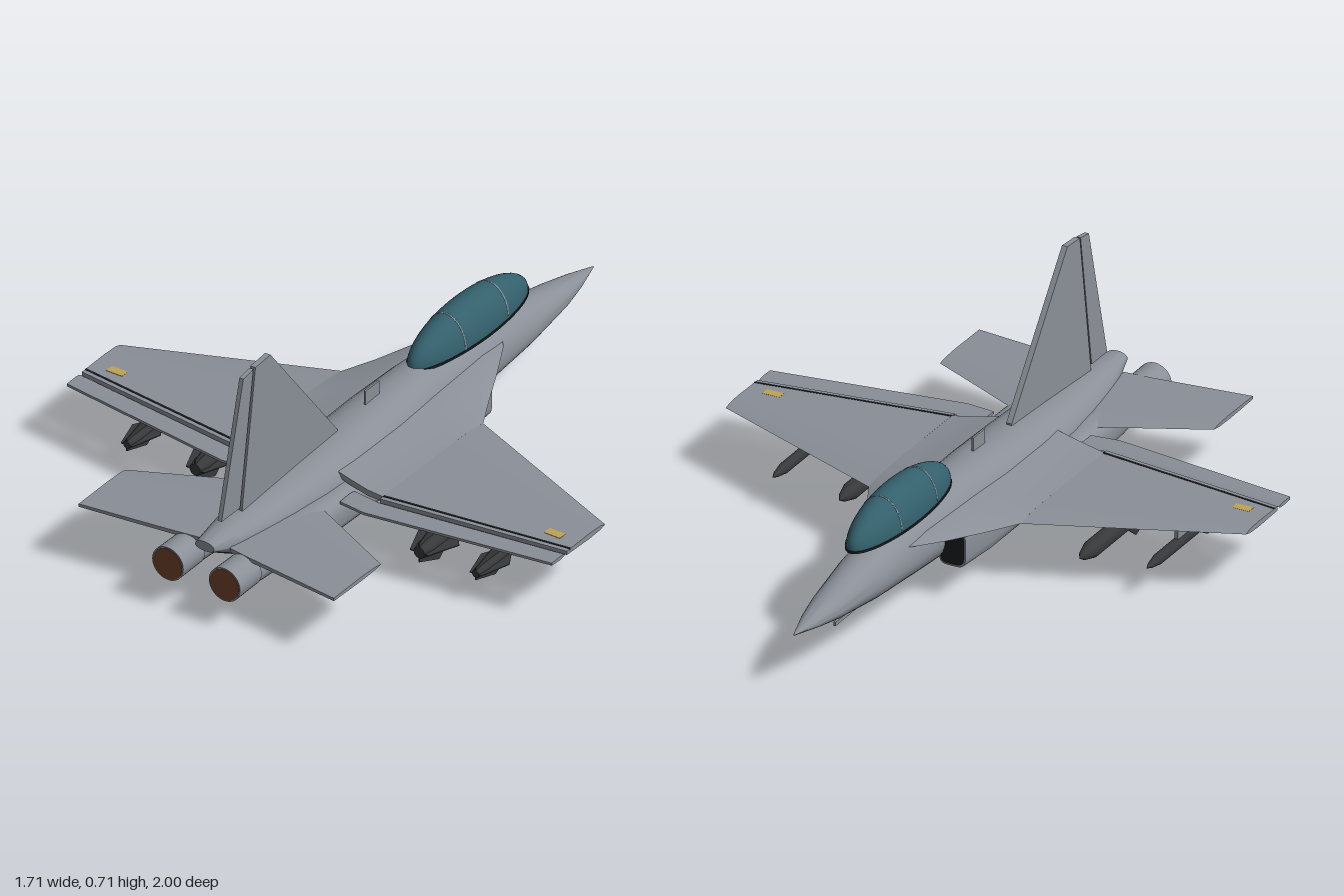
import * as THREE from 'three';
import { toCreasedNormals } from 'three/addons/utils/BufferGeometryUtils.js';

const paint = (name, color) => Object.assign(new THREE.MeshStandardMaterial({ color }), { name });

// Skin closed rings of points [x, y, z]; rings run counter-clockwise seen from the last ring
function loft(rings, crease = 0.6) {
  const n = rings[0].length, pos = [], idx = [];
  rings.forEach(r => r.forEach(p => pos.push(...p)));
  for (let i = 0; i < rings.length - 1; i++) {
    for (let j = 0; j < n; j++) {
      const a = i * n + j, b = i * n + (j + 1) % n;
      idx.push(a, b, a + n, b, b + n, a + n);
    }
  }
  const last = (rings.length - 1) * n;
  for (let j = 1; j < n - 1; j++) idx.push(0, j + 1, j, last, last + j, last + j + 1);
  const g = new THREE.BufferGeometry();
  g.setAttribute('position', new THREE.Float32BufferAttribute(pos, 3));
  g.setIndex(idx);
  return toCreasedNormals(g, crease);
}

// Rounded hull along z from rows [z, centreX, centreY, halfWidth, up, down, squareness]
function hull(rows) {
  return loft(rows.map(([z, cx, cy, w, up, down, e]) => Array.from({ length: 32 }, (_, j) => {
    const a = j / 32 * Math.PI * 2, c = Math.cos(a), s = Math.sin(a);
    const f = v => Math.sign(v) * Math.abs(v) ** (2 / e);
    return [cx + w * f(c), cy + (s > 0 ? up : down) * f(s), z];
  })), 0.9);
}

// Wing panel along x from rows [x, leadingZ, trailingZ, y, halfThickness]
const foil = [[0, 0], [0.12, -0.7], [0.4, -1], [1, -0.7], [1, 0.7], [0.4, 1], [0.12, 0.7]];
const slab = [[0, -1], [1, -1], [1, 1], [0, 1]];
const panel = (rows, section = foil) => loft(rows.map(([x, z0, z1, y, t]) =>
  section.map(([u, v]) => [x, y + v * t, z0 + (z1 - z0) * u]).reverse()), 0.4);

// Flat vertical plate from [z, y] points
function plate(points, t) {
  const g = new THREE.ExtrudeGeometry(new THREE.Shape(points.map(p => new THREE.Vector2(...p))),
    { depth: t, bevelEnabled: false });
  return g.rotateY(-Math.PI / 2).translate(t / 2, 0, 0);
}

// Copy a geometry to the other side, keeping faces outward
function mirrored(geometry) {
  const g = geometry.index ? geometry.toNonIndexed() : geometry.clone();
  g.scale(-1, 1, 1);
  for (const key of ['position', 'normal']) {
    const a = g.attributes[key].array;
    for (let i = 0; i < a.length; i += 9) {
      for (let k = 3; k < 6; k++) [a[i + k], a[i + k + 3]] = [a[i + k + 3], a[i + k]];
    }
  }
  return g;
}

export function createModel() {
  const model = new THREE.Group();
  model.name = 'jetAircraft';
  const grey = paint('airframeGrey', 0x8a8f98);
  const glass = paint('canopyTeal', 0x33606c);
  const dark = paint('storeCharcoal', 0x37383a);
  const black = paint('seamBlack', 0x1b1d20);
  const rust = paint('exhaustRust', 0x70432e);
  const gold = paint('lightGold', 0xc0a452);

  const add = (name, geometry, material) => {
    const m = new THREE.Mesh(geometry, material);
    m.name = name;
    model.add(m);
    return m;
  };
  const pair = (name, geometry, material) => {
    add(name + 'Left', geometry, material);
    add(name + 'Right', mirrored(geometry), material);
  };

  // Fuselage
  add('fuselage', hull([
    [-1, 0, 0.17, 0.002, 0.002, 0.002, 2],
    [-0.9, 0, 0.17, 0.032, 0.025, 0.02, 2],
    [-0.8, 0, 0.17, 0.053, 0.046, 0.037, 2],
    [-0.6, 0, 0.17, 0.077, 0.085, 0.06, 2],
    [-0.4, 0, 0.17, 0.089, 0.112, 0.075, 2],
    [-0.1, 0, 0.17, 0.105, 0.125, 0.092, 2.1],
    [0.1, 0, 0.17, 0.116, 0.12, 0.096, 2.1],
    [0.35, 0, 0.17, 0.12, 0.105, 0.094, 2.1],
    [0.5, 0, 0.175, 0.114, 0.092, 0.095, 2.1],
    [0.7, 0, 0.18, 0.09, 0.073, 0.085, 2],
    [0.85, 0, 0.195, 0.06, 0.048, 0.055, 2],
    [0.955, 0, 0.213, 0.034, 0.018, 0.014, 2],
  ]), grey);

  // Engine trunks with dark intake mouths
  pair('engineTrunk', hull([
    [-0.26, 0.118, 0.157, 0.044, 0.056, 0.06, 4.5],
    [-0.1, 0.112, 0.15, 0.054, 0.054, 0.066, 4],
    [0.2, 0.105, 0.143, 0.062, 0.056, 0.065, 3.2],
    [0.55, 0.102, 0.14, 0.064, 0.06, 0.061, 2.8],
    [0.72, 0.1, 0.14, 0.06, 0.058, 0.058, 2.3],
    [0.83, 0.1, 0.14, 0.053, 0.053, 0.053, 2],
    [0.9, 0.1, 0.14, 0.05, 0.05, 0.05, 2],
  ]), grey);
  pair('intakeMouth', hull([
    [-0.263, 0.118, 0.157, 0.039, 0.05, 0.054, 4.5],
    [-0.258, 0.118, 0.157, 0.039, 0.05, 0.054, 4.5],
  ]), black);

  // Exhaust nozzles
  pair('nozzle', new THREE.CylinderGeometry(0.055, 0.054, 0.11, 32)
    .rotateX(Math.PI / 2).translate(0.1, 0.142, 0.943), grey);
  pair('exhaust', new THREE.CylinderGeometry(0.051, 0.051, 0.004, 32)
    .rotateX(Math.PI / 2).translate(0.1, 0.142, 0.998), rust);

  // Wings, root strakes and flaps
  pair('strake', panel([
    [0.06, -0.46, 0.42, 0.228, 0.013], [0.09, -0.42, 0.42, 0.224, 0.013],
    [0.14, -0.32, 0.42, 0.21, 0.014], [0.2, -0.19, 0.42, 0.196, 0.014], [0.25, -0.09, 0.415, 0.19, 0.012],
  ]), grey);
  pair('wing', panel([[0.25, -0.09, 0.43, 0.19, 0.012], [0.855, 0.16, 0.352, 0.19, 0.009]]), grey);
  pair('hingeLine', panel([[0.25, 0.408, 0.416, 0.197, 0.003], [0.855, 0.331, 0.338, 0.195, 0.003]], slab), black);
  pair('flap', panel([
    [0.16, 0.427, 0.503, 0.19, 0.006], [0.25, 0.438, 0.513, 0.19, 0.006], [0.855, 0.36, 0.428, 0.19, 0.006],
  ]), grey);
  pair('wingLight', new THREE.BoxGeometry(0.056, 0.006, 0.03).translate(0.772, 0.196, 0.294), gold);

  // Tailplanes
  pair('tailplane', panel([
    [0.05, 0.53, 0.9, 0.192, 0.009], [0.14, 0.56, 0.91, 0.19, 0.009], [0.45, 0.71, 0.947, 0.19, 0.007],
  ]), grey);

  // Fin, rudder and spine blade
  add('fin', plate([[0.3, 0.283], [0.637, 0.708], [0.712, 0.702], [0.778, 0.26], [0.778, 0.225], [0.3, 0.25]], 0.018), grey);
  add('rudder', plate([[0.88, 0.262], [0.77, 0.692], [0.72, 0.7], [0.787, 0.262]], 0.014), grey);
  add('spineAntenna', new THREE.BoxGeometry(0.006, 0.06, 0.07).translate(0, 0.303, 0.115), grey);

  // Chin probe
  add('probe', new THREE.BoxGeometry(0.007, 0.012, 0.15).translate(0, 0.098, -0.68), grey);
  add('probeStrut', new THREE.BoxGeometry(0.007, 0.035, 0.03).translate(0, 0.112, -0.62), grey);

  // Canopy with sill and frame hoops
  add('canopy', new THREE.SphereGeometry(1, 40, 16, 0, Math.PI * 2, 0, Math.PI / 2)
    .scale(0.076, 0.108, 0.287).translate(0, 0.288, -0.368), glass);
  add('canopySill', new THREE.CylinderGeometry(1, 1, 1, 40)
    .scale(0.079, 0.007, 0.29).translate(0, 0.286, -0.368), black);
  for (const z of [-0.475, -0.26]) {
    const k = Math.sqrt(1 - ((z + 0.368) / 0.287) ** 2);
    add('canopyFrame', new THREE.TorusGeometry(1, 0.014, 6, 32, Math.PI)
      .scale(0.076 * k, 0.108 * k, 0.2).translate(0, 0.288, z), grey);
  }

  // Underwing stores: nose, body, four tail fins and a pylon
  for (const [label, x, y, r, end, span] of [['inner', 0.395, 0.072, 0.027, 0.44, 0.072], ['outer', 0.615, 0.093, 0.017, 0.47, 0.05]]) {
    const profile = [[0, 0], [r * 0.55, 0.025], [r, 0.07], [r, end - 0.03], [r * 0.7, end], [0, end]];
    const body = new THREE.LatheGeometry(profile.map(([a, b]) => new THREE.Vector2(a, b)), 20).rotateX(Math.PI / 2);
    pair(label + 'StoreBody', toCreasedNormals(body, 0.6).translate(x, y, 0), dark);
    for (let i = 0; i < 4; i++) {
      const fin = plate([[end - 0.17, 0], [end - 0.16, r], [end - 0.1, span], [end, r * 1.2], [end, 0]], 0.003);
      pair(label + 'StoreFin', fin.rotateZ(i * Math.PI / 2).translate(x, y, 0), dark);
    }
    pair(label + 'Pylon', new THREE.BoxGeometry(0.012, 0.185 - y, 0.11).translate(x, (0.185 + y) / 2, 0.235), grey);
  }

  return model;
}
